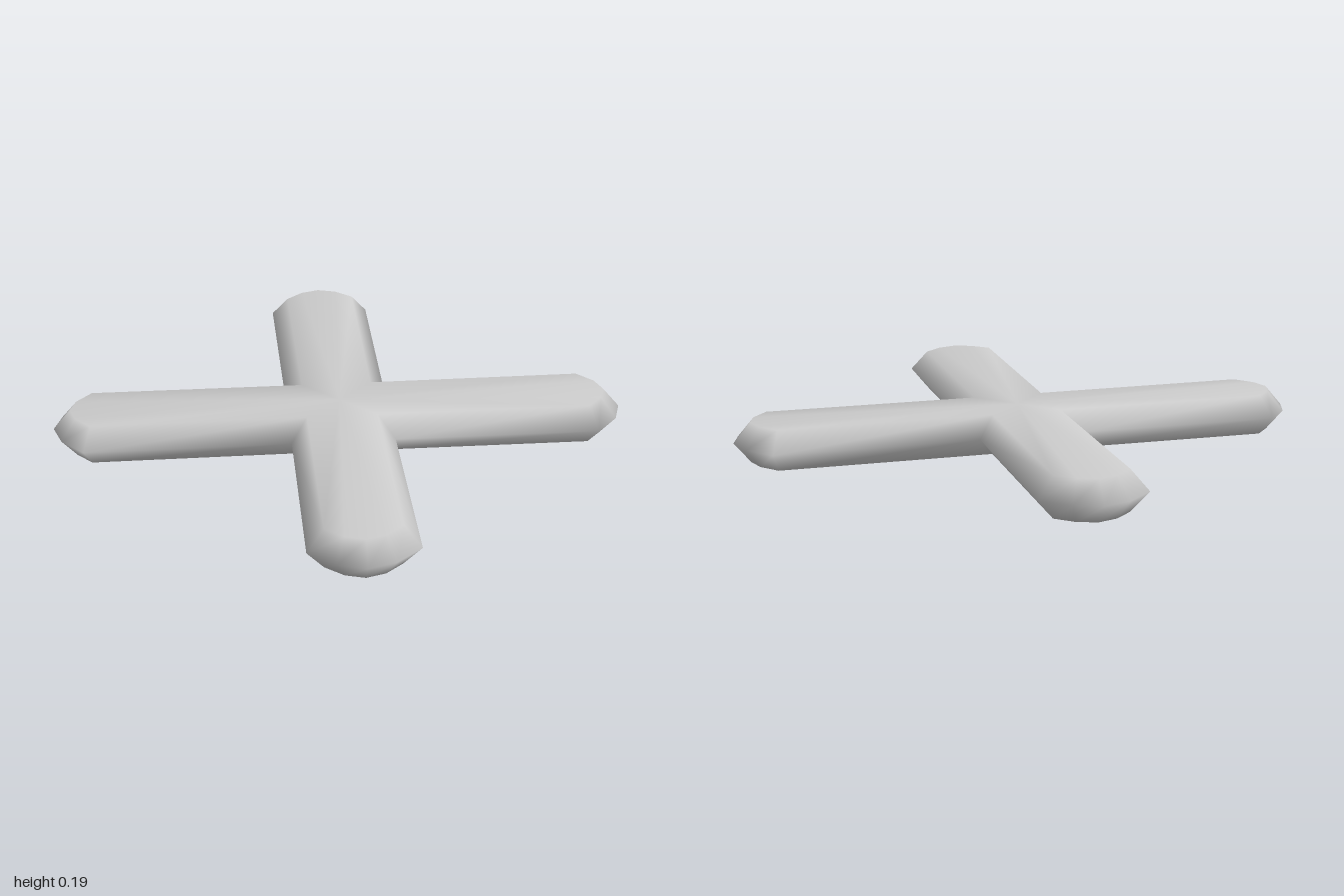
import * as THREE from 'three';

const HEIGHT = 0.185;
const BEVEL = 0.075;

// Widest outline: one inner corner and one rounded arm end, turned four times
function crossOutline() {
  const quarter = [[0.335, 0], [1, 0.66], [0.99, 0.815], [0.93, 0.93], [0.815, 0.99], [0.66, 1]];
  const points = [];
  for (let k = 0; k < 4; k++) {
    for (const [x, z] of quarter) {
      const p = new THREE.Vector2(x, z);
      for (let r = 0; r < k; r++) p.set(-p.y, p.x);
      points.push(p);
    }
  }
  return points;
}

// Mitred inward offset of a closed outline
function inset(points, d) {
  const n = points.length;
  const inward = (a, b) => new THREE.Vector2(a.y - b.y, b.x - a.x).normalize();
  return points.map((p, i) => {
    const n1 = inward(points[(i + n - 1) % n], p);
    const n2 = inward(p, points[(i + 1) % n]);
    const miter = n1.clone().add(n2).multiplyScalar(d / (1 + n1.dot(n2)));
    return p.clone().add(miter);
  });
}

// Three stacked rings with fan caps, smooth shaded
function crossGeometry() {
  const outline = crossOutline();
  const face = inset(outline, BEVEL);
  const n = outline.length;
  const positions = [];
  const index = [];
  [[face, 0], [outline, HEIGHT / 2], [face, HEIGHT]].forEach(([ring, y]) =>
    ring.forEach((p) => positions.push(p.x, y, p.y)));
  positions.push(0, 0, 0, 0, HEIGHT, 0);
  const bottom = 3 * n;
  const top = bottom + 1;

  for (let i = 0; i < n; i++) {
    const j = (i + 1) % n;
    for (let r = 0; r < 2; r++) {
      const a = r * n + i;
      const b = r * n + j;
      index.push(a, a + n, b, b, a + n, b + n);
    }
    index.push(bottom, i, j);
    index.push(top, 2 * n + j, 2 * n + i);
  }

  const geometry = new THREE.BufferGeometry();
  geometry.setAttribute('position', new THREE.Float32BufferAttribute(positions, 3));
  geometry.setIndex(index);
  geometry.computeVertexNormals();
  return geometry;
}

export function createModel() {
  const group = new THREE.Group();
  group.name = 'cross';
  const body = new THREE.Mesh(crossGeometry(), new THREE.MeshStandardMaterial({ color: 0xcccccc }));
  body.name = 'bevelledCrossBody';
  group.add(body);
  return group;
}
